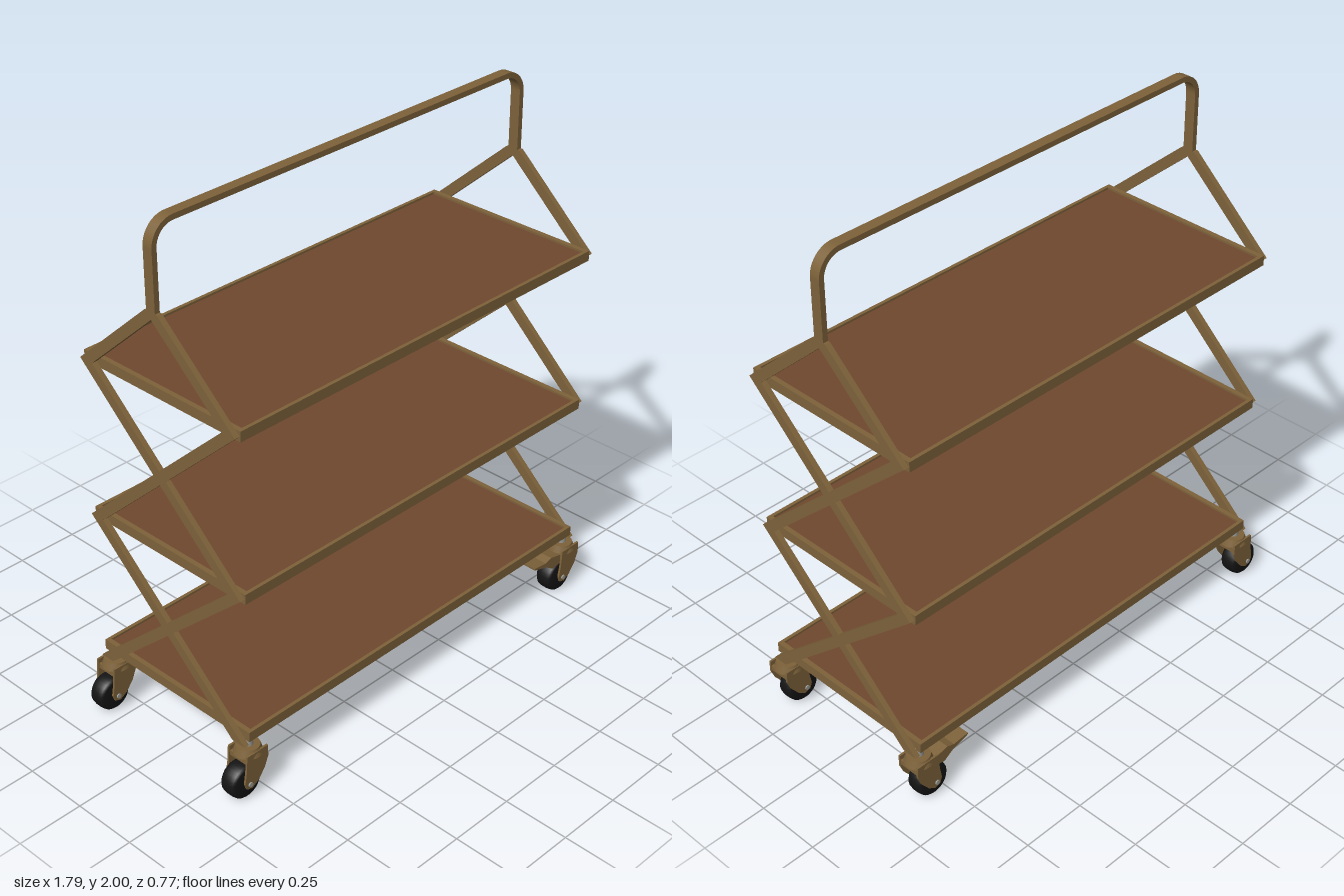
import * as THREE from 'three';

const mat = (name, color) => {
  const m = new THREE.MeshStandardMaterial({ color });
  m.name = name;
  return m;
};

export function createModel() {
  const bronze = mat('bronze metal', 0x7d623a);
  const wood = mat('brown board', 0x70482f);
  const rubber = mat('black rubber', 0x141414);
  const steel = mat('grey steel', 0x9a9a94);

  const trolley = new THREE.Group();
  trolley.name = 'shelfTrolley';
  const CX = 0.02, CZ = 0.004; // centre of the frame

  const add = (parent, name, geo, material, x = 0, y = 0, z = 0) => {
    const m = new THREE.Mesh(geo, material);
    m.name = name;
    m.position.set(x, y, z);
    parent.add(m);
    return m;
  };
  const box = (w, h, d) => new THREE.BoxGeometry(w, h, d);
  // Extruded outline, centred on its thickness
  const slab = (shape, depth) =>
    new THREE.ExtrudeGeometry(shape, { depth, bevelEnabled: false, curveSegments: 10 }).translate(0, 0, -depth / 2);
  const outline = (pts) => new THREE.Shape(pts.map(([x, y]) => new THREE.Vector2(x, y)));

  // Handle: flat bar bent into an arch
  const W = 0.856, T = 0.02, R = 0.09, foot = 1.68, top = 2;
  const arch = new THREE.Shape();
  arch.moveTo(W, foot);
  arch.lineTo(W, top - R);
  arch.absarc(W - R, top - R, R, 0, Math.PI / 2);
  arch.absarc(R - W, top - R, R, Math.PI / 2, Math.PI);
  arch.lineTo(-W, foot);
  arch.lineTo(T - W, foot);
  arch.lineTo(T - W, top - R);
  arch.absarc(R - W, top - R, R - T, Math.PI, Math.PI / 2, true);
  arch.absarc(W - R, top - R, R - T, Math.PI / 2, 0, true);
  arch.lineTo(W - T, foot);
  add(trolley, 'handle', slab(arch, 0.04), bronze, CX, 0, CZ);

  // Crossing zigzag bars on both ends
  const path = [[0, 1.695], [0.33, 1.4], [-0.33, 0.8], [0.33, 0.21]];
  const half = 0.029;
  for (const side of [-1, 1]) {
    for (const flip of [-1, 1]) {
      const left = path.map(([z, y]) => [z * flip - half, y]);
      const right = path.map(([z, y]) => [z * flip + half, y]).reverse();
      const geo = slab(outline([...left, ...right]), 0.02).rotateY(-Math.PI / 2);
      add(trolley, 'zigzagBar', geo, bronze, CX + side * (W - 0.01), 0, CZ);
    }
  }

  // Shelves: tray, inset board and raised rim
  const L = 1.672, D = 0.724, H = 0.038;
  for (const y of [0.224, 0.78, 1.381]) {
    const shelf = new THREE.Group();
    shelf.name = 'shelf';
    shelf.position.set(CX, y, CZ);
    trolley.add(shelf);
    add(shelf, 'tray', box(L - 0.01, 0.024, D - 0.01), bronze, 0, 0.012, 0);
    add(shelf, 'board', box(L - 0.03, 0.006, D - 0.02), wood, 0, 0.027, 0);
    for (const s of [-1, 1]) {
      add(shelf, 'longRail', box(L, H, 0.013), bronze, 0, H / 2, s * (D / 2 - 0.0065));
      add(shelf, 'endRail', box(0.018, H, D - 0.026), bronze, s * (L / 2 - 0.009), H / 2, 0);
    }
  }

  // Castors, trailing towards -x
  const cheek = outline([[-0.047, 0.185], [0.047, 0.185], [0.047, 0.14], [0.03, 0.1], [0, 0.062],
    [-0.028, 0.045], [-0.052, 0.052], [-0.06, 0.075], [-0.052, 0.12]]);
  const pedal = outline([[-0.195, 0.176], [-0.13, 0.168], [-0.1, 0.178], [-0.04, 0.165],
    [-0.04, 0.13], [-0.085, 0.122], [-0.125, 0.148], [-0.195, 0.169]]);
  const tyre = [[0.02, -0.034], [0.055, -0.034], [0.063, -0.026], [0.066, -0.01], [0.066, 0.01],
    [0.063, 0.026], [0.055, 0.034], [0.02, 0.034]].map(([r, h]) => new THREE.Vector2(r, h));

  for (const [x, braked] of [[-0.797, false], [0.84, true]]) {
    for (const s of [-1, 1]) {
      const castor = new THREE.Group();
      castor.name = braked ? 'brakedCastor' : 'castor';
      castor.position.set(x, 0, CZ + s * 0.333);
      trolley.add(castor);
      add(castor, 'stem', new THREE.CylinderGeometry(0.018, 0.018, 0.05, 20), steel, 0, 0.205, 0);
      add(castor, 'swivelHead', new THREE.CylinderGeometry(0.042, 0.052, 0.03, 24), bronze, 0, 0.178, 0);
      for (const f of [-1, 1]) {
        add(castor, 'forkCheek', slab(cheek, 0.008), bronze, 0, 0, f * 0.043);
      }
      add(castor, 'forkBridge', box(0.09, 0.02, 0.086), bronze, 0, 0.157, 0);
      const wheel = add(castor, 'wheel', new THREE.LatheGeometry(tyre, 32), rubber, -0.037, 0.066, 0);
      wheel.rotation.x = Math.PI / 2;
      const hub = add(castor, 'hub', new THREE.CylinderGeometry(0.022, 0.022, 0.066, 20), rubber, -0.037, 0.066, 0);
      hub.rotation.x = Math.PI / 2;
      const axle = add(castor, 'axle', new THREE.CylinderGeometry(0.009, 0.009, 0.104, 12), steel, -0.037, 0.066, 0);
      axle.rotation.x = Math.PI / 2;
      if (braked) add(castor, 'brakePedal', slab(pedal, 0.07), bronze);
    }
  }
  return trolley;
}
